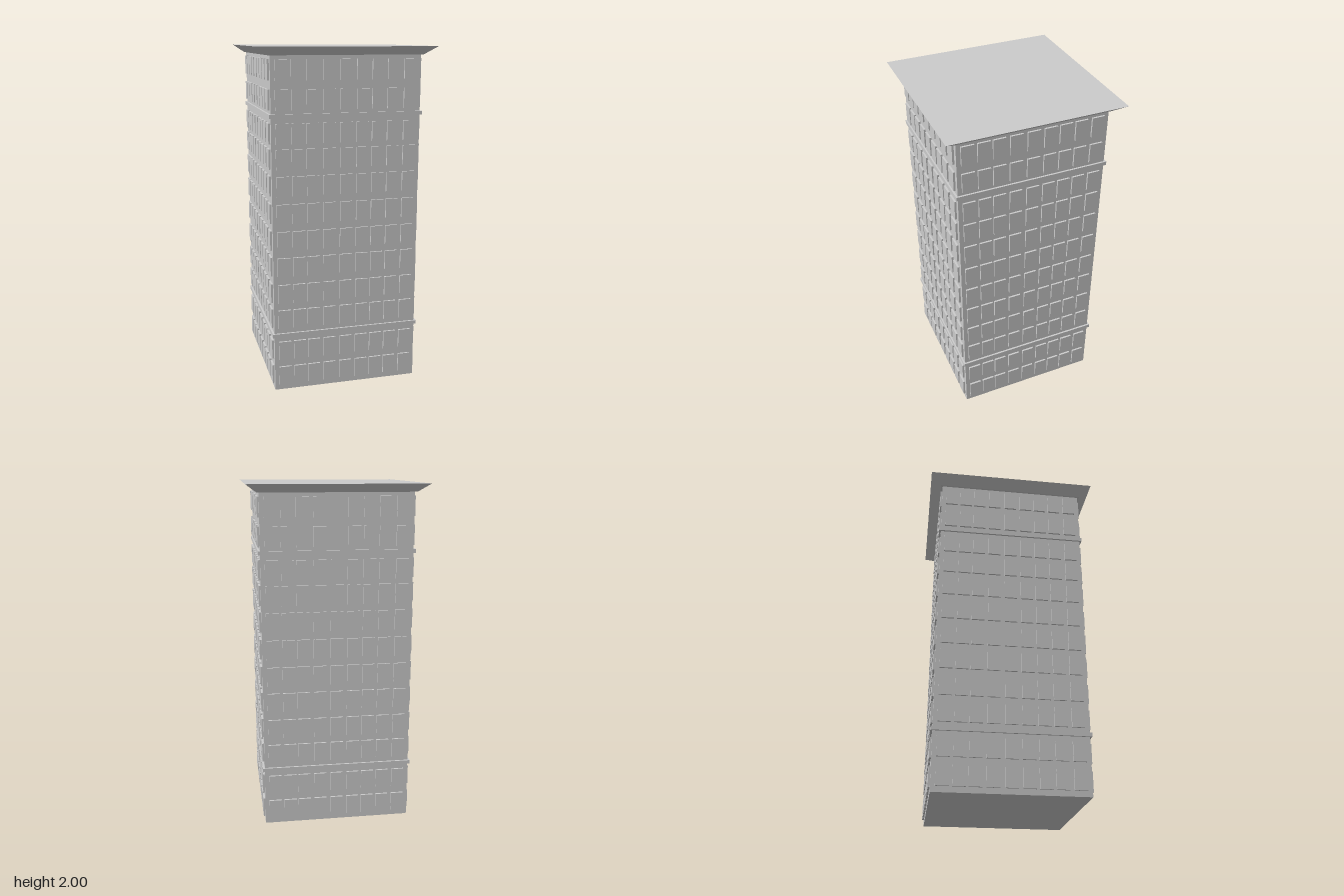
import * as THREE from 'three';

const HALF = 0.433;   // half width of the tower
const OUT = 0.444;    // half width over the window panels and ledges
const COLUMNS = [-0.372, -0.282, -0.197, -0.102, -0.003, 0.093, 0.183, 0.273, 0.37];
const ROWS = [0.09, 0.248, 0.443, 0.598, 0.759, 0.915, 1.074, 1.233, 1.386, 1.529, 1.714, 1.876];

export function createModel() {
  const model = new THREE.Group();
  model.name = 'tower';
  const material = new THREE.MeshStandardMaterial({ color: 0xcccccc, flatShading: true });

  const add = (parent, name, geometry, x, y, z) => {
    const mesh = new THREE.Mesh(geometry, material);
    mesh.name = name;
    mesh.position.set(x, y, z);
    parent.add(mesh);
    return mesh;
  };

  // Main block
  add(model, 'body', new THREE.BoxGeometry(2 * HALF, 1.955, 2 * HALF), 0, 1.955 / 2, 0);

  // Ledges running round the tower
  const ledge = new THREE.BoxGeometry(2 * OUT, 0.022, 2 * OUT);
  add(model, 'lowerLedge', ledge, 0, 0.346, 0);
  add(model, 'upperLedge', ledge, 0, 1.627, 0);

  // Flared square cornice with a flat top
  const cornice = new THREE.CylinderGeometry(0.507 * Math.SQRT2, 0.444 * Math.SQRT2, 0.046, 4, 1, false, Math.PI / 4);
  add(model, 'cornice', cornice, 0, 1.977, 0);

  // Raised window panels, the same grid turned onto each of the four sides
  const depth = 0.02;
  const panel = new THREE.BoxGeometry(0.073, 0.114, depth);
  ['front', 'left', 'back', 'right'].forEach((side, i) => {
    const facade = new THREE.Group();
    facade.name = `${side}Windows`;
    facade.rotation.y = i * Math.PI / 2;
    for (const y of ROWS) {
      for (const x of COLUMNS) add(facade, 'window', panel, x, y, OUT - depth / 2);
    }
    model.add(facade);
  });

  return model;
}
